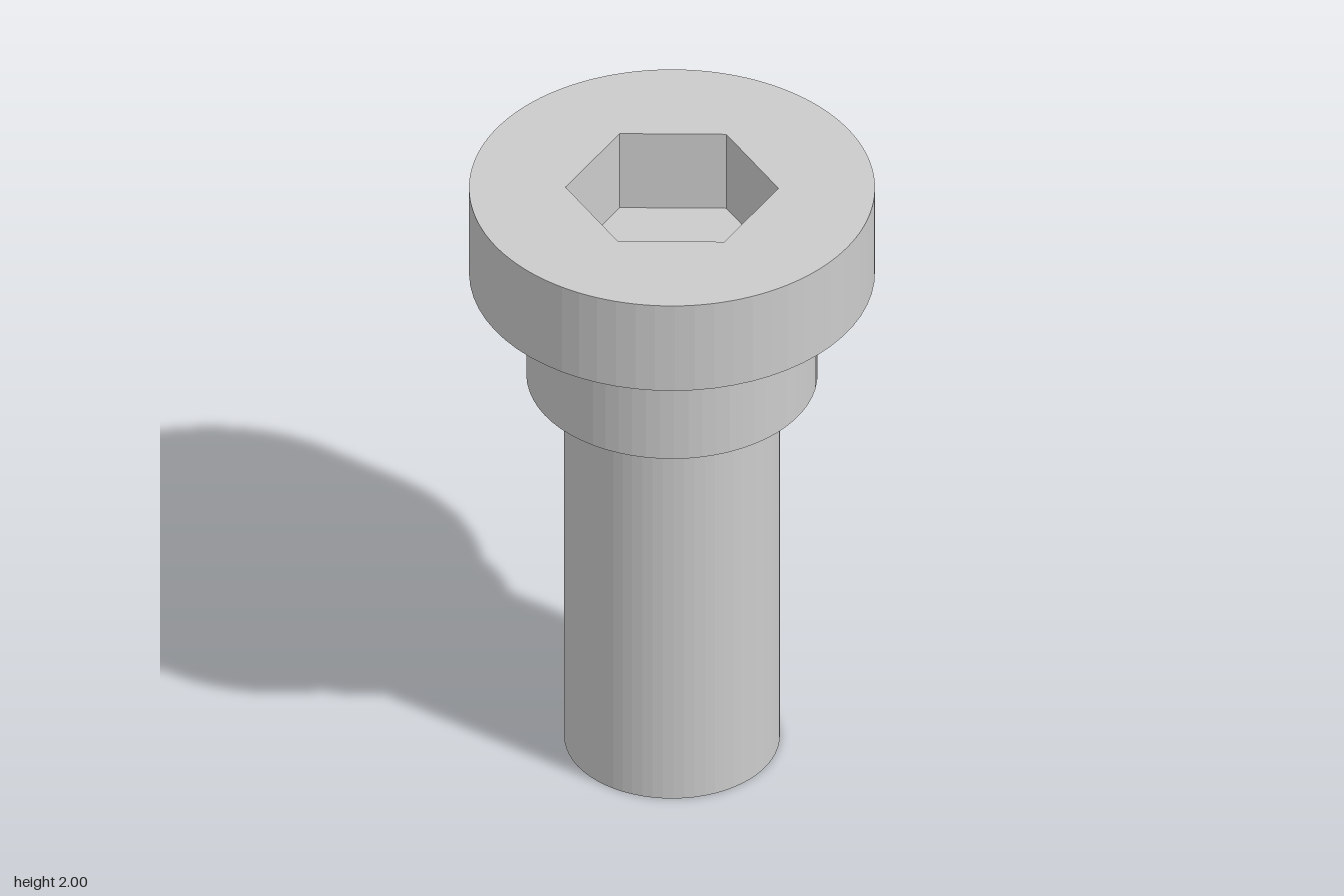
import * as THREE from 'three';

const SEGMENTS = 64;
const HEAD_R = 0.602, TOP = 2;
const HEX_R = 0.316, HEX_TURN = THREE.MathUtils.degToRad(1.5), SOCKET_FLOOR = 1.73;

export function createModel() {
  const model = new THREE.Group();
  model.name = 'shoulderScrew';
  const material = new THREE.MeshStandardMaterial({ color: 0xcccccc, flatShading: true });

  const add = (name, geometry) => {
    const mesh = new THREE.Mesh(geometry, material);
    mesh.name = name;
    model.add(mesh);
    return mesh;
  };
  const lathe = (points, segments, start = 0) =>
    new THREE.LatheGeometry(points.map(([r, y]) => new THREE.Vector2(r, y)), segments, start);

  // Stepped body, each part running from its lower face up its side
  add('shaft', lathe([[0, 0], [0.32, 0], [0.32, 1.32]], SEGMENTS));
  add('shoulder', lathe([[0.32, 1.32], [0.432, 1.32], [0.432, 1.69]], SEGMENTS));
  add('headSide', lathe([[0.432, 1.69], [HEAD_R, 1.69], [HEAD_R, TOP]], SEGMENTS));

  // Top face with a hexagonal opening
  const face = new THREE.Shape().absarc(0, 0, HEAD_R, 0, Math.PI * 2);
  const corners = Array.from({ length: 6 }, (_, i) => {
    const a = -HEX_TURN - i * Math.PI / 3;
    return new THREE.Vector2(HEX_R * Math.cos(a), HEX_R * Math.sin(a));
  });
  face.holes.push(new THREE.Path(corners));
  const topFace = new THREE.ShapeGeometry(face, SEGMENTS);
  topFace.rotateX(-Math.PI / 2).translate(0, TOP, 0);
  add('headTop', topFace);

  // Hex socket: the profile runs downward so its walls face inward
  add('hexSocket', lathe([[HEX_R, TOP], [HEX_R, SOCKET_FLOOR], [0, SOCKET_FLOOR]], 6, Math.PI / 2 - HEX_TURN));

  return model;
}
